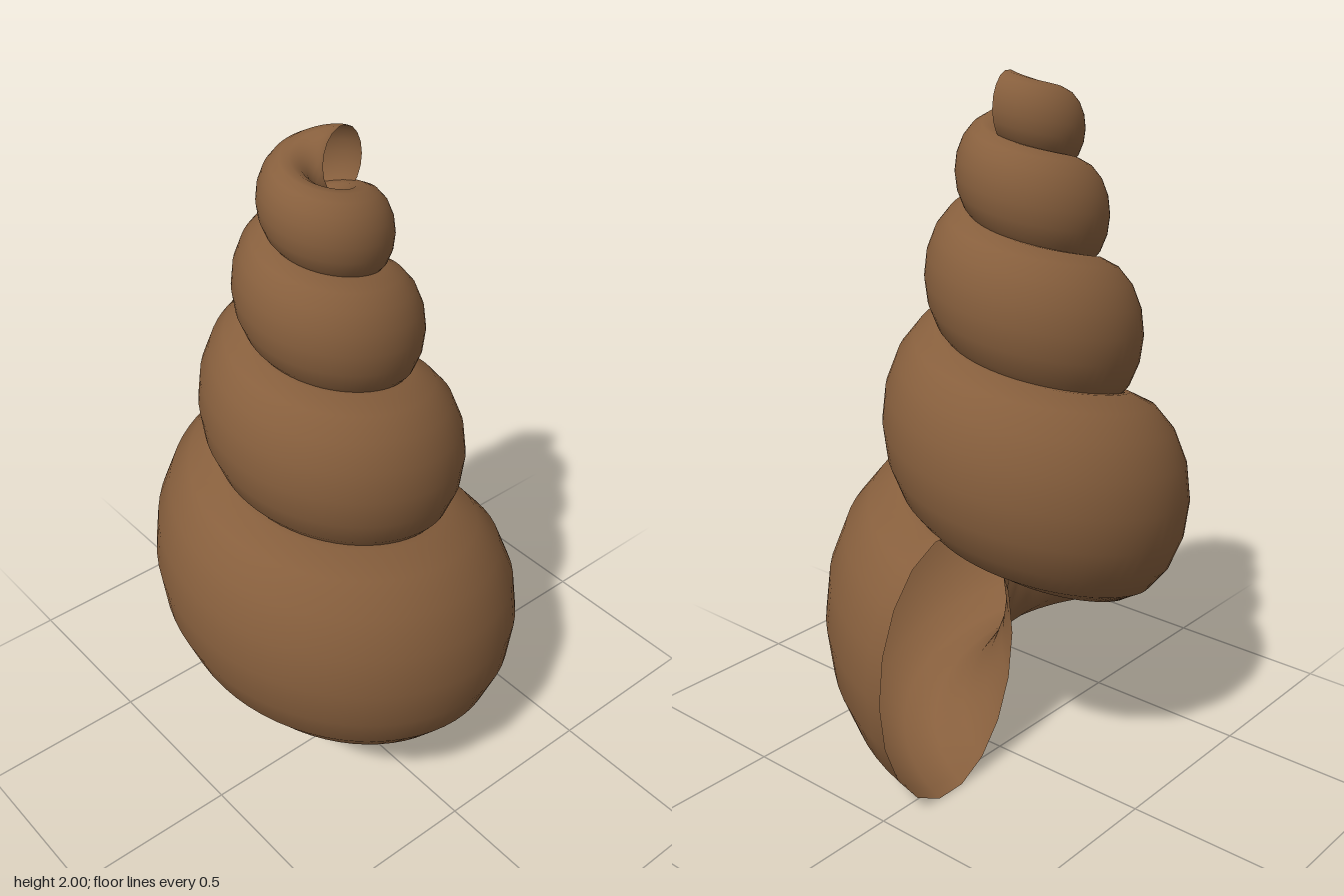
import * as THREE from 'three';

const TURNS = 4, GROWTH = 1.45; // whorl count and growth per turn
const STEPS = 64 * TURNS, SIDES = 18;
const AXIS_X = -0.051, AXIS_Z = -0.046;
const APEX_Y = 2.352;

// Elliptical tube swept along a logarithmic helix that widens as it descends
function whorlGeometry() {
  const positions = [], index = [];
  for (let i = 0; i <= STEPS; i++) {
    const turn = (i / STEPS) * TURNS;
    const theta = turn * Math.PI * 2;
    const s = Math.pow(GROWTH, turn - TURNS); // 1 at the aperture
    for (let j = 0; j < SIDES; j++) {
      const phi = (j / SIDES) * Math.PI * 2;
      const r = s * (0.323 + 0.274 * Math.cos(phi));
      const y = APEX_Y + s * (-1.952 + 0.406 * Math.sin(phi));
      positions.push(AXIS_X + r * Math.cos(theta), y, AXIS_Z - r * Math.sin(theta));
      if (i < STEPS) {
        const k = (j + 1) % SIDES;
        const a = i * SIDES + j, b = a + SIDES;
        const c = i * SIDES + k, d = c + SIDES;
        index.push(a, b, d, a, d, c);
      }
    }
  }
  const geometry = new THREE.BufferGeometry();
  geometry.setAttribute('position', new THREE.Float32BufferAttribute(positions, 3));
  geometry.setIndex(index);
  geometry.computeVertexNormals();
  return geometry;
}

export function createModel() {
  const brown = new THREE.MeshStandardMaterial({ color: 0x875f3d, side: THREE.DoubleSide });
  brown.name = 'shell brown';

  // Open at both the tip and the aperture
  const shell = new THREE.Mesh(whorlGeometry(), brown);
  shell.name = 'spiralShell';

  const model = new THREE.Group();
  model.name = 'seaSnailShell';
  model.add(shell);
  return model;
}
